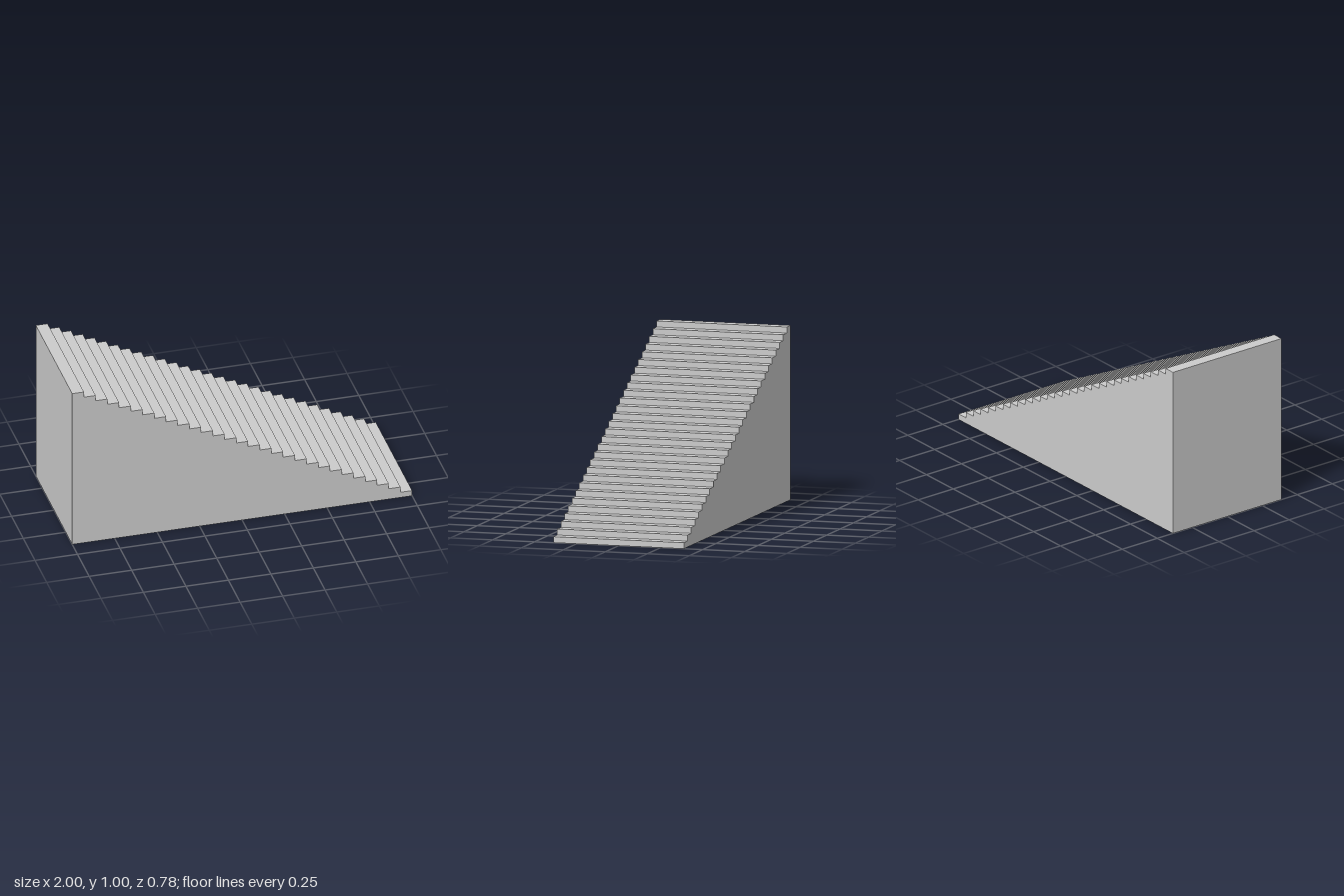
import * as THREE from 'three';

const STEPS = 29;
const LENGTH = 2;
const HEIGHT = 1;
const WIDTH = 0.776;

export function createModel() {
  const group = new THREE.Group();
  group.name = 'staircase';

  // Side profile: flat base, tall wall at -x, steps descending towards +x
  const run = LENGTH / STEPS;
  const rise = HEIGHT / STEPS;
  const profile = new THREE.Shape();
  profile.moveTo(-LENGTH / 2, 0);
  profile.lineTo(LENGTH / 2, 0);
  for (let i = 0; i < STEPS; i++) {
    const x = LENGTH / 2 - i * run;
    const y = (i + 1) * rise;
    profile.lineTo(x, y); // riser
    profile.lineTo(x - run, y); // tread
  }
  profile.closePath();

  // Solid flight of stairs
  const geometry = new THREE.ExtrudeGeometry(profile, { depth: WIDTH, bevelEnabled: false });
  geometry.translate(0, 0, -WIDTH / 2);
  const stairs = new THREE.Mesh(
    geometry,
    new THREE.MeshStandardMaterial({ color: 0xcccccc, flatShading: true })
  );
  stairs.name = 'stairFlight';
  group.add(stairs);

  return group;
}
